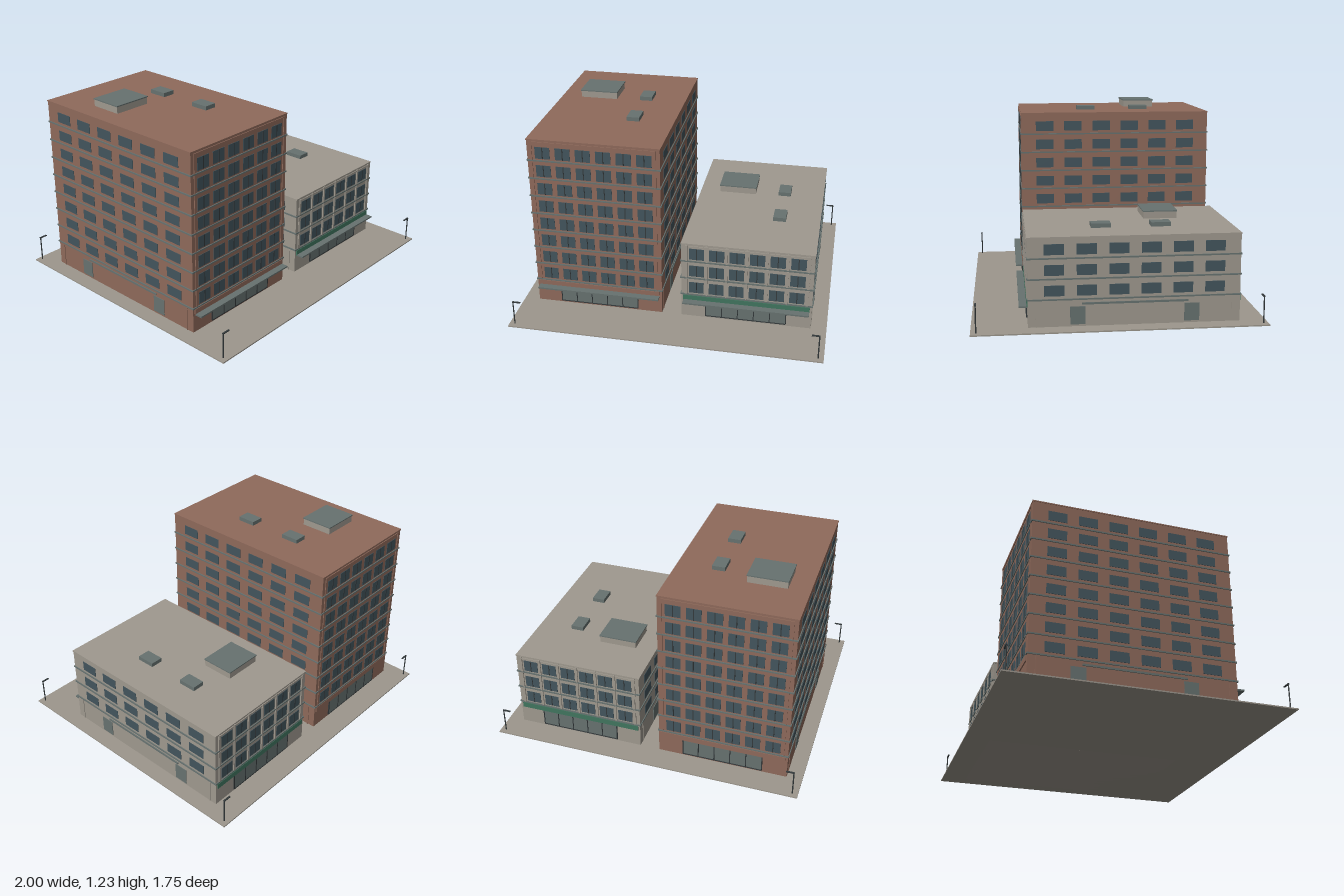
import * as THREE from 'three';
import { mergeGeometries } from 'three/addons/utils/BufferGeometryUtils.js';

const mat = (name, color) => {
  const m = new THREE.MeshStandardMaterial({ color });
  m.name = name;
  return m;
};

// Box from centre and size
const box = (x, y, z, w, h, d) => new THREE.BoxGeometry(w, h, d).translate(x, y, z);

function part(group, name, material, geometries) {
  const mesh = new THREE.Mesh(mergeGeometries(geometries), material);
  mesh.name = name;
  group.add(mesh);
}

const W = 0.836, D = 1.258;      // footprint of each building
const HW = W / 2, HD = D / 2;
const FLOOR = 0.123, FIRST = 0.225;

function building(name, floors, height, wall, band, hasFins, m) {
  const g = new THREE.Group();
  g.name = name;
  part(g, 'walls', wall, [box(0, height / 2, 0, W, height, D)]);

  // Windows and ledges on every floor
  const frontGlass = [], sideGlass = [], mullions = [], ledges = [], fins = [];
  for (let f = 0; f < floors; f++) {
    const y = FIRST + f * FLOOR;
    for (let i = 0; i < 6; i++) {
      const x = (i - 2.5) * 0.128, z = (i - 2.5) * 0.19;
      for (const s of [-1, 1]) {
        frontGlass.push(box(x, y, s * HD, 0.095, 0.078, 0.006));
        mullions.push(box(x, y, s * HD, 0.006, 0.078, 0.01));
        sideGlass.push(box(s * HW, y, z, 0.006, 0.064, 0.117));
      }
    }
    ledges.push(box(0, y - 0.053, 0, W + 0.012, 0.009, D + 0.012));
    // Upright fins between the windows
    for (let i = 0; i < 7; i++) for (const s of [-1, 1])
      fins.push(box((i - 3) * 0.128, y + 0.008, s * HD, 0.012, 0.113, 0.016));
  }
  part(g, 'frontAndBackWindows', m.glass, frontGlass);
  part(g, 'sideWindows', m.glass, sideGlass);
  part(g, 'windowMullions', m.dark, mullions);
  part(g, 'floorLedges', m.metal, ledges);
  if (hasFins) part(g, 'facadeFins', wall, fins);

  // Raised border round the upper facade
  const top = height - 0.02, mid = (0.172 + top) / 2, border = [];
  for (const s of [-1, 1]) {
    for (const x of [-0.39, 0.39]) border.push(box(x, mid, s * HD, 0.008, top - 0.172, 0.01));
    border.push(box(0, top, s * HD, 0.788, 0.008, 0.01));
  }
  part(g, 'facadeBorder', wall, border);
  part(g, 'roofEdge', wall, [box(0, height - 0.004, 0, W + 0.006, 0.008, D + 0.006)]);

  // Shop fronts, sign bands and front canopy
  const shop = [], shopBars = [], bands = [];
  for (const s of [-1, 1]) {
    shop.push(box(0, 0.074, s * HD, 0.515, 0.108, 0.008));
    for (let i = 0; i < 6; i++) shopBars.push(box(-0.2575 + i * 0.103, 0.074, s * HD, 0.006, 0.108, 0.014));
    shopBars.push(box(0, 0.021, s * HD, 0.515, 0.006, 0.014));
    bands.push(box(0, 0.147, s * HD, 0.81, 0.036, 0.014));
  }
  part(g, 'shopFronts', m.metal, shop);
  part(g, 'shopFrontBars', m.dark, shopBars);
  part(g, 'signBands', band, bands);
  part(g, 'frontCanopy', m.metal, [box(0, 0.129, HD + 0.025, 0.806, 0.01, 0.054)]);

  // Side doors, trim and corner strips
  const doors = [], trim = [], strips = [];
  for (const s of [-1, 1]) {
    trim.push(box(s * HW, 0.145, 0, 0.012, 0.012, 0.63));
    for (const t of [-1, 1]) {
      doors.push(box(s * HW, 0.074, t * 0.338, 0.008, 0.108, 0.09));
      strips.push(box(s * HW, 0.085, t * 0.58, 0.008, 0.155, 0.008));
    }
  }
  part(g, 'sideDoors', m.metal, doors);
  part(g, 'sideTrim', m.metal, trim);
  part(g, 'cornerStrips', wall, strips);

  // Rooftop plant
  part(g, 'roofHouse', m.stone, [box(-0.164, height + 0.022, -0.223, 0.246, 0.044, 0.21)]);
  part(g, 'roofHouseLid', m.metal, [box(-0.164, height + 0.047, -0.223, 0.254, 0.007, 0.218)]);
  part(g, 'roofVents', m.metal, [-0.188, 0.178].map(z => box(0.157, height + 0.013, z, 0.083, 0.026, 0.12)));
  return g;
}

export function createModel() {
  const model = new THREE.Group();
  model.name = 'cityBlock';
  const m = {
    brick: mat('brick', 0x8f6a5b),
    stone: mat('stone', 0x9f998f),
    pavement: mat('pavement', 0x9d978d),
    glass: mat('window glass', 0x43555d),
    metal: mat('grey metal', 0x677270),
    dark: mat('dark frame', 0x343a3c),
    green: mat('green sign', 0x41755f),
  };

  part(model, 'pavement', m.pavement, [box(0, 0.004, 0, 2, 0.008, 1.75)]);

  const tower = building('brickTower', 8, 1.175, m.brick, m.brick, false, m);
  tower.position.set(-0.483, 0, -0.087);
  const office = building('stoneOffice', 3, 0.545, m.stone, m.green, true, m);
  office.position.set(0.481, 0, -0.087);
  model.add(tower, office);

  // Street lamps at the corners
  const lamps = [];
  for (const sx of [-1, 1]) for (const z of [-0.845, 0.842]) {
    lamps.push(new THREE.CylinderGeometry(0.004, 0.004, 0.165, 8).translate(sx * 0.965, 0.09, z));
    lamps.push(box(sx * 0.943, 0.172, z, 0.052, 0.006, 0.01));
  }
  part(model, 'streetLamps', m.dark, lamps);
  return model;
}
